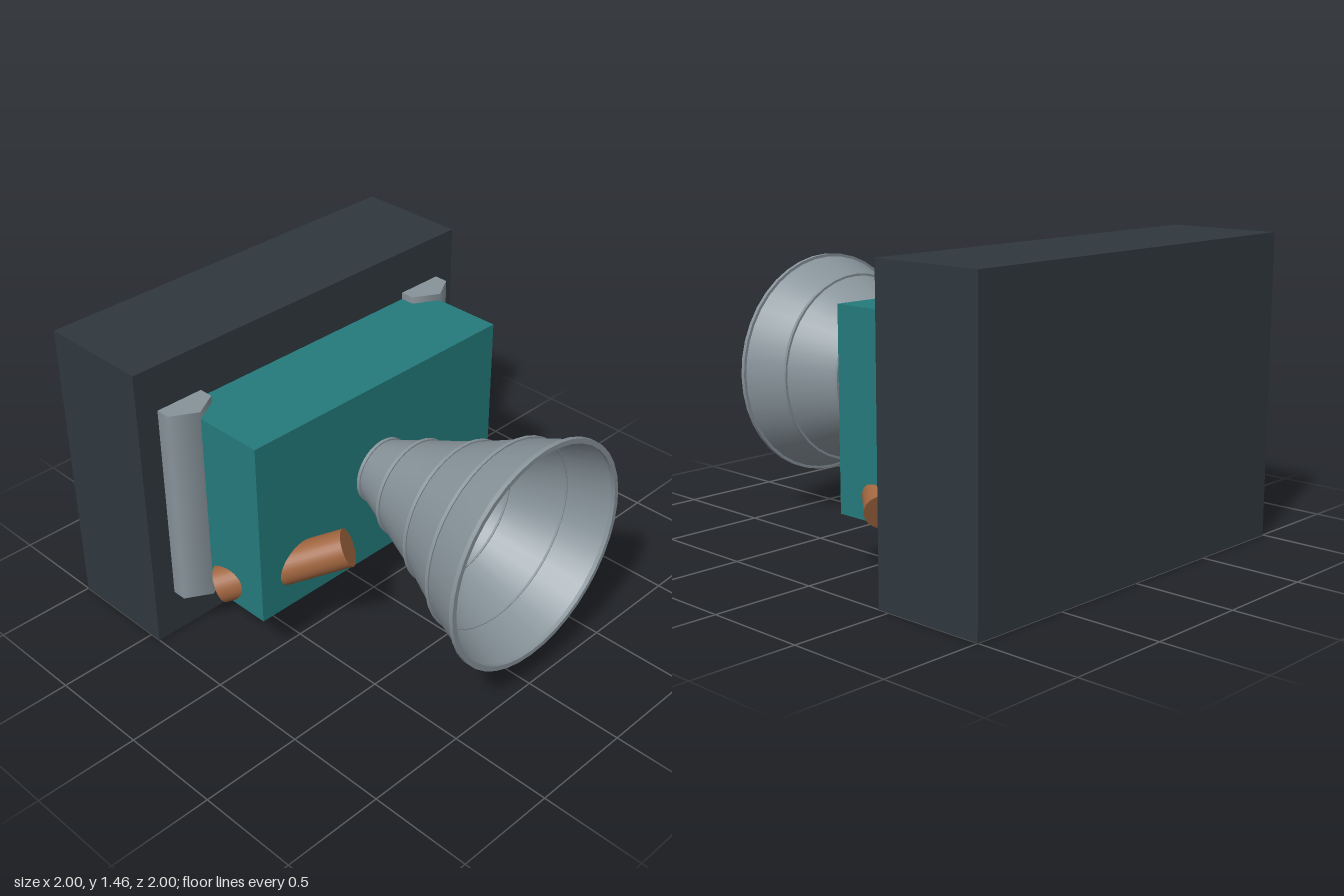
import * as THREE from 'three';
import { toCreasedNormals } from 'three/addons/utils/BufferGeometryUtils.js';

const mat = (name, color, side = THREE.FrontSide) => {
  const m = new THREE.MeshStandardMaterial({ color, side });
  m.name = name;
  return m;
};

export function createModel() {
  const dark = mat('dark slate', 0x2f383e);
  const teal = mat('teal', 0x247a7c);
  const grey = mat('steel grey', 0x87939a, THREE.DoubleSide);
  const copper = mat('copper', 0xa0653f);

  const root = new THREE.Group();
  root.name = 'hornUnit';
  const add = (name, geometry, material, x, y, z, parent = root) => {
    const mesh = new THREE.Mesh(geometry, material);
    mesh.name = name;
    mesh.position.set(x, y, z);
    parent.add(mesh);
    return mesh;
  };

  // Rear cabinet and the smaller block in front of it
  add('cabinet', new THREE.BoxGeometry(2, 1.455, 0.56), dark, 0, 0.7275, -0.72);
  add('frontBlock', new THREE.BoxGeometry(1.53, 0.935, 0.49), teal, 0, 0.7325, -0.195);

  // Six-sided posts and slanted copper pipes, mirrored left and right
  for (const [side, s] of [['left', 1], ['right', -1]]) {
    add(side + 'Post', new THREE.CylinderGeometry(0.141, 0.141, 1.005, 6), grey, s * 0.766, 0.7325, -0.44);

    const back = new THREE.Vector3(s * 0.768, 0.328, -0.234);
    const front = new THREE.Vector3(s * 0.39, 0.575, 0.221);
    const mid = back.clone().add(front).multiplyScalar(0.5);
    const dir = front.clone().sub(back);
    const pipe = add(side + 'Pipe', new THREE.CylinderGeometry(0.09, 0.09, dir.length(), 32), copper, mid.x, mid.y, mid.z);
    pipe.quaternion.setFromUnitVectors(new THREE.Vector3(0, 1, 0), dir.normalize());
  }

  // Open horn: thin flared wall with a raised band at each joint
  const horn = new THREE.Group();
  horn.name = 'horn';
  root.add(horn);
  const lathe = (points) =>
    new THREE.LatheGeometry(points.map(([r, z]) => new THREE.Vector2(r, z)), 40).rotateX(Math.PI / 2);
  const joints = [[0.155, 0.06], [0.236, 0.263], [0.346, 0.535], [0.462, 0.775], [0.545, 0.99]];
  add('hornWall', lathe([[0.152, 0.048], ...joints]), grey, 0, 0.73, 0, horn);

  joints.forEach(([r, z], i) => {
    const inner = i === joints.length - 1 ? r - 0.014 : r - 0.001;
    const outer = r + 0.01;
    const h = i === joints.length - 1 ? 0.01 : 0.008;
    const band = lathe([[inner, z - h], [outer, z - h], [outer, z + h], [inner, z + h], [inner, z - h]]);
    add('hornBand' + (i + 1), toCreasedNormals(band, 0.6), grey, 0, 0.73, 0, horn);
  });

  return root;
}
